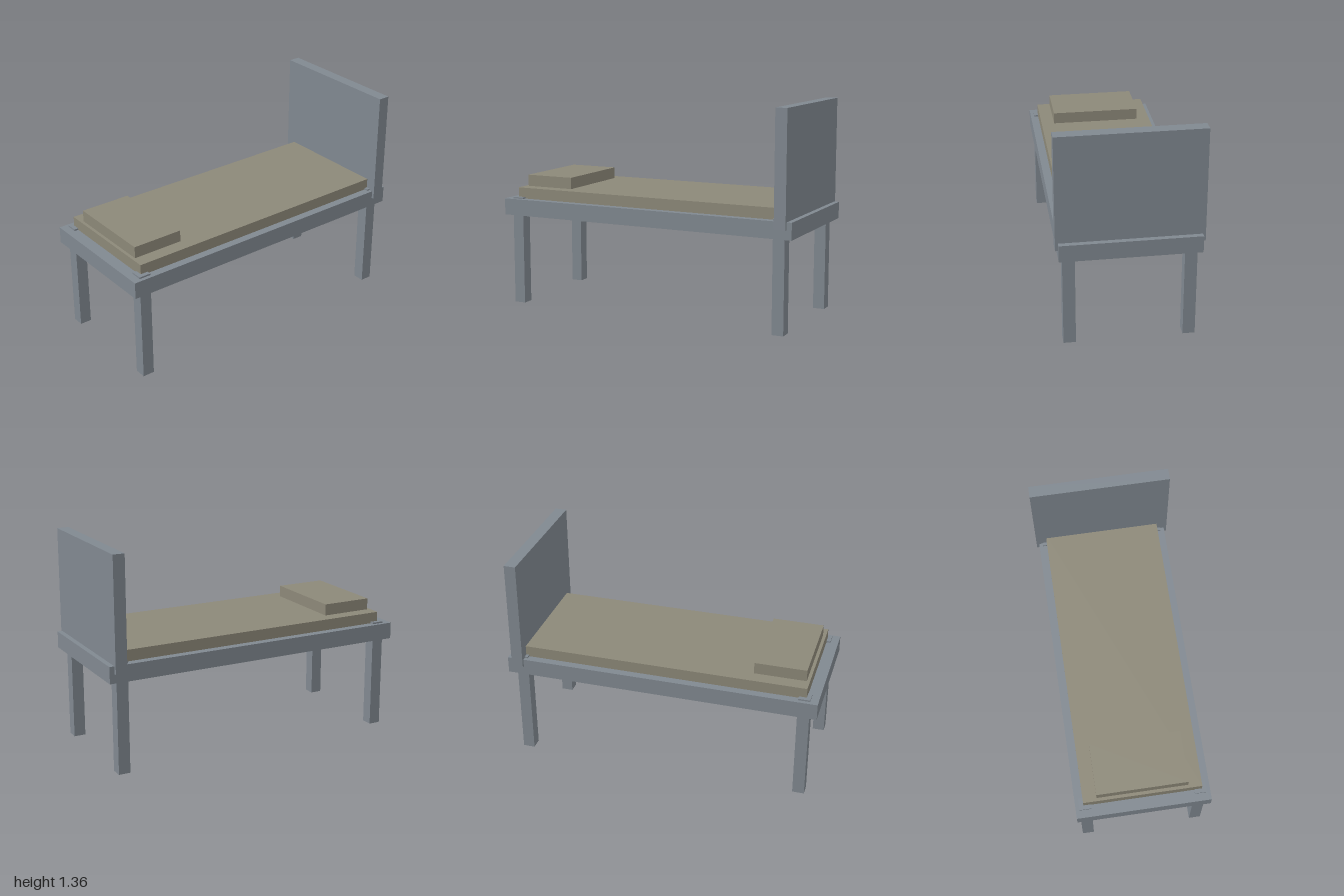
import * as THREE from 'three';

export function createModel() {
  const model = new THREE.Group();
  const frameGrey = new THREE.MeshStandardMaterial({ color: 0x808890 });
  frameGrey.name = 'frameGrey';
  const beddingKhaki = new THREE.MeshStandardMaterial({ color: 0x8c8878 });
  beddingKhaki.name = 'beddingKhaki';

  // Box given by its x and y extents and its z centre and depth
  function box(name, material, [x0, x1], [y0, y1], depth, z = 0) {
    const mesh = new THREE.Mesh(new THREE.BoxGeometry(x1 - x0, y1 - y0, depth), material);
    mesh.position.set((x0 + x1) / 2, (y0 + y1) / 2, z);
    mesh.name = name;
    model.add(mesh);
  }

  // Bed base and upright end board
  box('bedFrame', frameGrey, [-1, 1], [0.587, 0.693], 0.846);
  box('endBoard', frameGrey, [0.894, 0.968], [0.645, 1.359], 0.88);

  // Legs, with their tops standing just proud of the frame
  for (const x of [-0.913, 0.911]) {
    for (const z of [-0.362, 0.362]) {
      const name = (z > 0 ? 'front' : 'back') + (x > 0 ? 'Left' : 'Right') + 'Leg';
      box(name, frameGrey, [x - 0.0375, x + 0.0375], [0, 0.703], 0.075, z);
    }
  }

  // Bedding
  box('mattress', beddingKhaki, [-0.924, 0.924], [0.693, 0.764], 0.744);
  box('pillow', beddingKhaki, [-0.904, -0.576], [0.764, 0.838], 0.572);

  return model;
}
